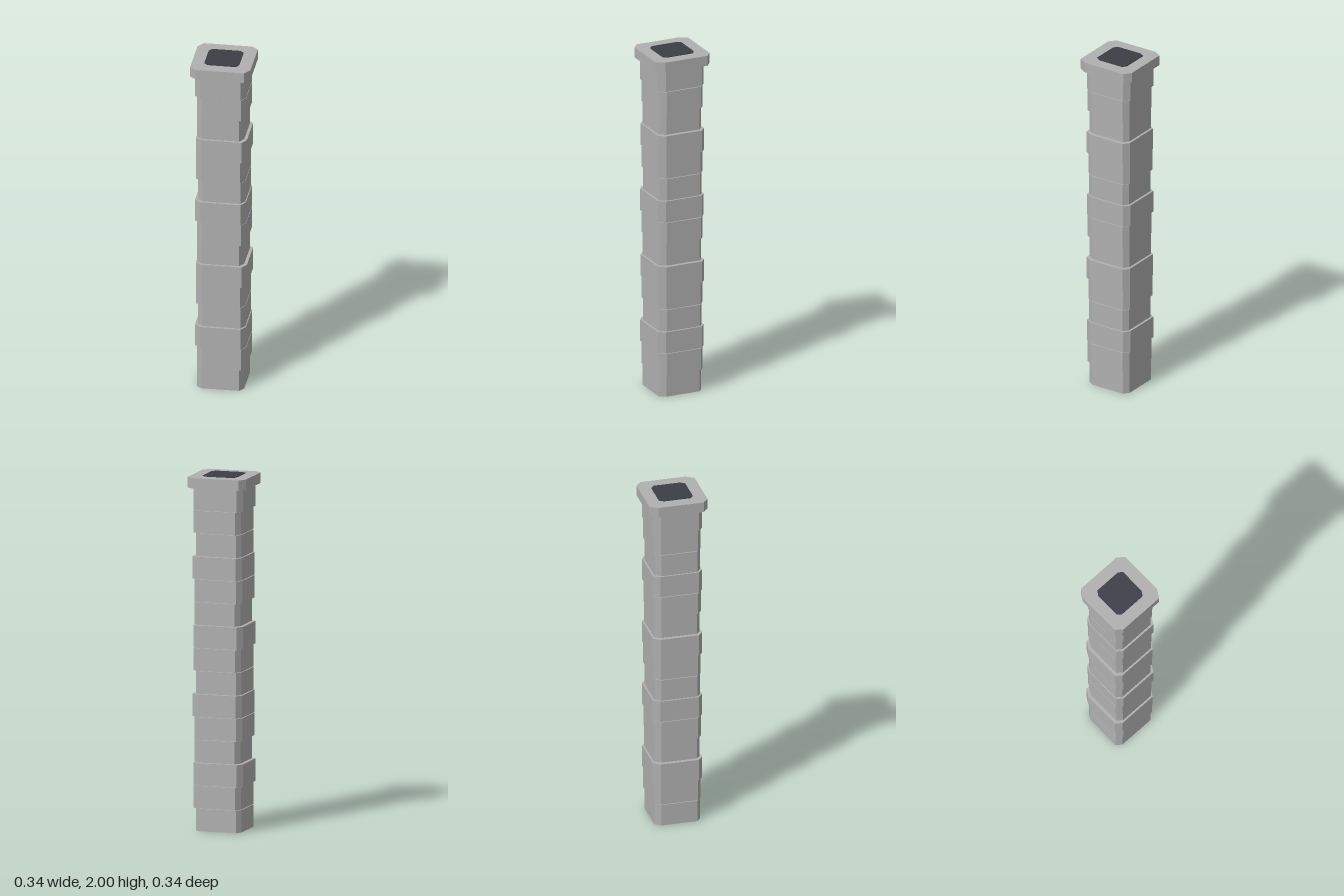
import * as THREE from 'three';

// Uneven chamfered square, half-width 1, as [x, z] going round the plan
const PLAN = [
  [-0.83, -1], [0.77, -1], [1, -0.82], [1, 0.72],
  [0.83, 1], [-0.77, 1], [-1, 0.82], [-1, -0.73],
];

// Flat-sided stone shell: walls and a top, hollow below
function shellGeometry(half, y0, y1, dx = 0) {
  const pos = [];
  const at = ([x, z], y) => [x * half + dx, y, z * half];
  PLAN.forEach((p, i) => {
    const q = PLAN[(i + 1) % PLAN.length];
    const a = at(p, y0), b = at(q, y0), c = at(p, y1), d = at(q, y1);
    pos.push(...b, ...a, ...c, ...b, ...c, ...d); // wall
    pos.push(dx, y1, 0, ...d, ...c); // top wedge
  });
  const geo = new THREE.BufferGeometry();
  geo.setAttribute('position', new THREE.Float32BufferAttribute(pos, 3));
  geo.computeVertexNormals();
  return geo;
}

export function createModel() {
  const stone = new THREE.MeshStandardMaterial({ color: 0xb0b0b0, flatShading: true, side: THREE.DoubleSide });
  stone.name = 'stone';
  const soot = new THREE.MeshStandardMaterial({ color: 0x3b3f46, flatShading: true, side: THREE.DoubleSide });
  soot.name = 'soot';

  const chimney = new THREE.Group();
  chimney.name = 'chimney';
  const add = (name, geo, mat) => {
    const mesh = new THREE.Mesh(geo, mat);
    mesh.name = name;
    chimney.add(mesh);
  };

  // Stacked courses: three sizes in turn, nudged left and right alternately
  const pitch = 0.1293, height = 0.1265;
  for (let i = 0; i < 15; i++) {
    const half = 0.1325 + 0.005 * (i % 3);
    const dx = i % 2 ? 0.003 : -0.003;
    add(`stoneCourse${i + 1}`, shellGeometry(half, i * pitch, i * pitch + height, dx), stone);
  }

  // Projecting cap and dark flue opening
  add('cap', shellGeometry(0.169, 1.937, 1.996), stone);
  add('flueOpening', shellGeometry(0.098, 1.992, 2), soot);
  return chimney;
}
